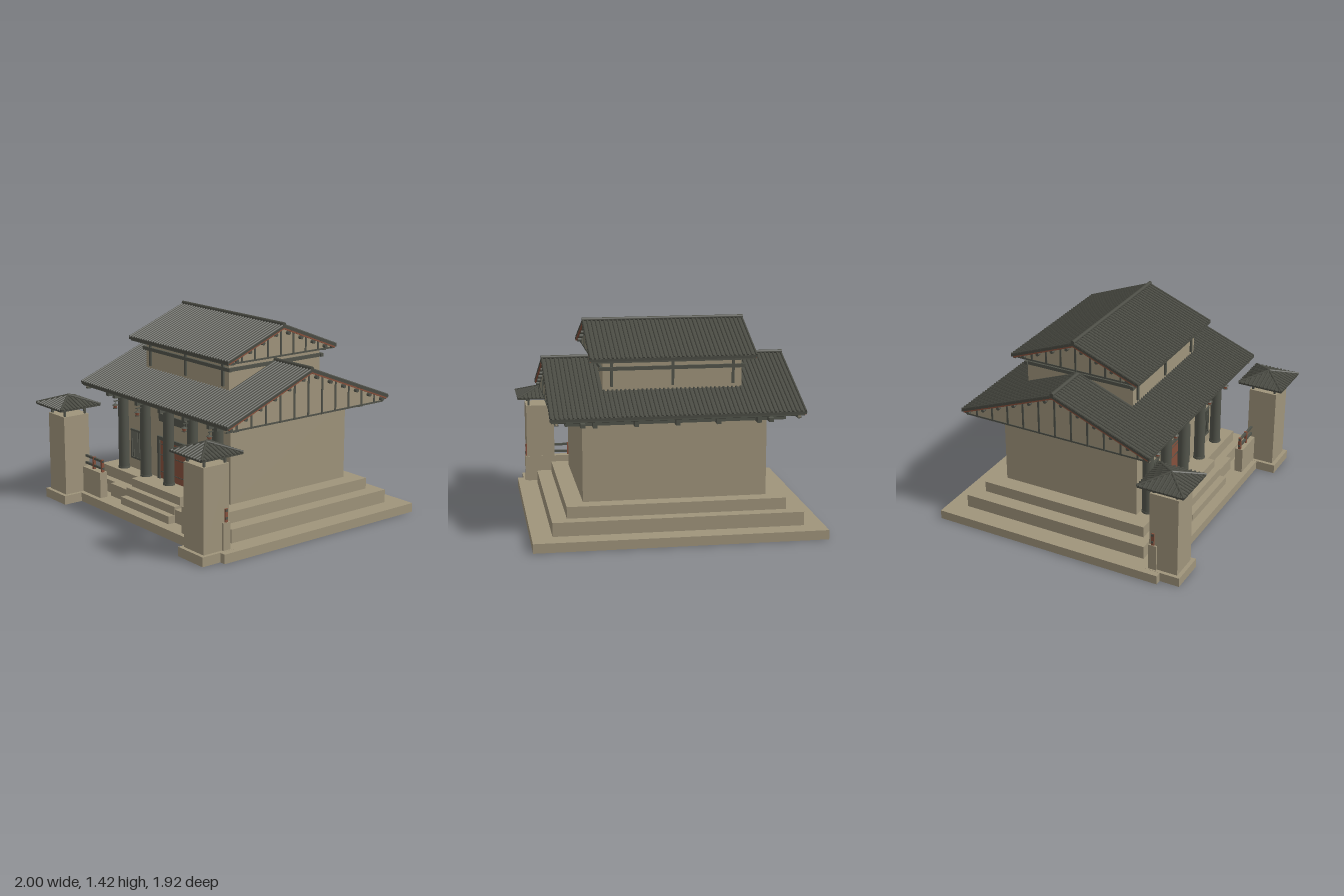
import * as THREE from 'three';
import { mergeGeometries } from 'three/addons/utils/BufferGeometryUtils.js';

const material = (name, color) => {
  const m = new THREE.MeshStandardMaterial({ color });
  m.name = name;
  return m;
};

export function createModel() {
  const model = new THREE.Group();
  model.name = 'pavilion';
  const stone = material('sandstone', 0x9f947b);
  const tile = material('roof tile', 0x4a4b43);
  const timber = material('dark timber', 0x51534a);
  const red = material('red wood', 0x86503c);

  const add = (name, geometry, mat, parent = model) => {
    const mesh = new THREE.Mesh(geometry, mat);
    mesh.name = name;
    parent.add(mesh);
    return mesh;
  };
  // Box geometry given by its minimum and maximum on each axis
  const boxGeo = (x0, x1, y0, y1, z0, z1) =>
    new THREE.BoxGeometry(x1 - x0, y1 - y0, z1 - z0).translate((x0 + x1) / 2, (y0 + y1) / 2, (z0 + z1) / 2);
  const box = (name, mat, b, parent) => add(name, boxGeo(...b), mat, parent);
  // Round bar between two points
  const rod = (a, b, r, sides = 6) => {
    const p = new THREE.Vector3(...a), q = new THREE.Vector3(...b), d = q.clone().sub(p);
    const turn = new THREE.Quaternion().setFromUnitVectors(new THREE.Vector3(0, 1, 0), d.clone().normalize());
    return new THREE.CylinderGeometry(r, r, d.length(), sides)
      .applyQuaternion(turn).translate(...p.add(q).multiplyScalar(0.5).toArray());
  };
  // Prism from a (z, y) outline, spread along x
  const prism = (points, x0, x1) => {
    const shape = new THREE.Shape(points.map(([z, y]) => new THREE.Vector2(-z, y)));
    return new THREE.ExtrudeGeometry(shape, { depth: x1 - x0, bevelEnabled: false })
      .rotateY(Math.PI / 2).translate(x0, 0, 0);
  };

  // Terraces
  box('baseSlab', stone, [-1, 1, 0, 0.065, -0.96, 0.77]);
  box('lowerTerrace', stone, [-0.86, 0.86, 0.065, 0.16, -0.82, 0.6]);
  box('upperTerrace', stone, [-0.755, 0.755, 0.16, 0.24, -0.73, 0.545]);
  box('sideLanding', stone, [-0.5, 0.5, 0.065, 0.16, 0.58, 0.64]);

  // Entrance steps
  [[0.12, 0.695], [0.18, 0.645], [0.24, 0.598]].forEach(([y, z]) =>
    box('entranceStep', stone, [-0.29, 0.29, 0.065, y, 0.5, z]));

  // Hall
  box('hallWalls', stone, [-0.635, 0.635, 0.24, 0.8, -0.62, 0.43]);

  // Double door with frame and cross rails
  for (const s of [-1, 1]) {
    box('doorJamb', timber, [s * 0.169 - 0.013, s * 0.169 + 0.013, 0.24, 0.555, 0.42, 0.446]);
    box('doorLeaf', red, [s * 0.08 - 0.077, s * 0.08 + 0.077, 0.245, 0.532, 0.425, 0.436]);
    for (const y of [0.295, 0.42, 0.5])
      box('doorRail', timber, [s * 0.08 - 0.07, s * 0.08 + 0.07, y - 0.003, y + 0.003, 0.43, 0.439]);
  }
  box('doorLintel', timber, [-0.182, 0.182, 0.53, 0.555, 0.42, 0.446]);
  box('signBoard', timber, [-0.16, 0.16, 0.67, 0.725, 0.42, 0.445]);

  // Slatted windows
  for (const s of [-1, 1]) {
    const parts = [boxGeo(-0.1, 0.1, 0.318, 0.332, 0.42, 0.444), boxGeo(-0.1, 0.1, 0.526, 0.54, 0.42, 0.444)];
    for (let i = 0; i < 9; i++) {
      const x = -0.094 + i * 0.0235;
      parts.push(boxGeo(x - 0.005, x + 0.005, 0.325, 0.53, 0.42, 0.441));
    }
    add('windowLattice', mergeGeometries(parts), timber).position.x = s * 0.42;
  }

  // Columns, lanterns and the beam ends above them
  for (let i = -2; i <= 2; i++) {
    const x = i * 0.279;
    add('column', new THREE.CylinderGeometry(0.038, 0.04, 0.55, 24).translate(x, 0.515, 0.477), timber);
    add('columnBase', new THREE.CylinderGeometry(0.042, 0.044, 0.015, 24).translate(x, 0.2475, 0.477), timber);
    box('crossBeam', timber, [x - 0.014, x + 0.014, 0.775, 0.825, -0.74, 0.56]);
    if (i === 0) continue;
    const lantern = new THREE.Group();
    lantern.name = 'lantern';
    lantern.position.set(x, 0, 0.548);
    model.add(lantern);
    box('lanternArm', timber, [-0.004, 0.004, 0.75, 0.757, -0.05, 0.01], lantern);
    add('lanternHanger', rod([0, 0.73, 0], [0, 0.753, 0], 0.003), timber, lantern);
    add('lanternCap', new THREE.ConeGeometry(0.024, 0.014, 8).translate(0, 0.73, 0), timber, lantern);
    add('lanternBody', new THREE.CylinderGeometry(0.016, 0.012, 0.022, 8).translate(0, 0.712, 0), red, lantern);
    add('lanternFoot', new THREE.CylinderGeometry(0.018, 0.018, 0.005, 8).translate(0, 0.7, 0), timber, lantern);
  }
  for (const z of [0.477, -0.657])
    box('longBeam', timber, [-0.755, 0.755, 0.78, 0.815, z - 0.022, z + 0.022]);
  for (const s of [-1, 1])
    box('sideBeam', timber, [s * 0.64 - 0.016, s * 0.64 + 0.016, 0.778, 0.806, -0.74, 0.56]);

  // Tiled gable roof with filled, battened gable ends; ridge runs along x
  function gableRoof(name, { halfX, halfZ, ridge, eave, sill, battenStep }) {
    const roof = new THREE.Group();
    roof.name = name;
    roof.position.z = -0.09;
    model.add(roof);
    const slope = (ridge - eave) / halfZ;
    const at = (z) => ridge - slope * Math.abs(z);
    const t = 0.018;
    add('roofDeck', prism([[halfZ, eave], [0, ridge], [-halfZ, eave], [-halfZ, eave - t], [0, ridge - t], [halfZ, eave - t]],
      -halfX, halfX), tile, roof);

    // Tile ribs and ridge cap
    const ribs = [];
    const count = Math.round(halfX * 2 / 0.03);
    for (let i = 0; i <= count; i++) {
      const x = -halfX + 0.008 + i * (halfX * 2 - 0.016) / count;
      for (const s of [-1, 1]) ribs.push(rod([x, ridge + 0.002, 0], [x, eave + 0.002, s * halfZ], 0.008));
    }
    add('tileRibs', mergeGeometries(ribs), tile, roof);
    add('ridgeCap', rod([-halfX, ridge + 0.006, 0], [halfX, ridge + 0.006, 0], 0.014, 10), tile, roof);

    // Red rafters below the deck
    const rafters = [];
    const n = Math.round(halfX * 2 / 0.06);
    for (let i = 0; i <= n; i++) {
      const x = -halfX + 0.008 + i * (halfX * 2 - 0.016) / n;
      for (const s of [-1, 1]) {
        const y = -t, d = 0.011, z = s * (halfZ - 0.015);
        const pts = [[0, ridge + y], [z, at(z) + y], [z, at(z) + y - d], [0, ridge + y - d]];
        rafters.push(prism(s > 0 ? pts : pts.reverse(), x - 0.006, x + 0.006));
      }
    }
    add('rafters', mergeGeometries(rafters), red, roof);

    // Gable ends, battens and sills
    const edge = halfZ - 0.02, gx = halfX - 0.045;
    for (const s of [-1, 1]) {
      add('gableWall', prism([[edge, sill + 0.004], [edge, at(edge) - t], [0, ridge - t], [-edge, at(edge) - t], [-edge, sill + 0.004]],
        s * gx - 0.008, s * gx + 0.008), stone, roof);
      box('gableSill', timber, [s * gx - 0.012, s * gx + 0.012, sill, sill + 0.012, -edge, edge], roof);
      const battens = [];
      for (let k = -8; k <= 8; k++) {
        const z = k * battenStep;
        if (Math.abs(z) < edge - 0.03)
          battens.push(boxGeo(s * gx - 0.013, s * gx + 0.013, sill, at(z) - t - 0.004, z - 0.007, z + 0.007));
      }
      add('gableBattens', mergeGeometries(battens), timber, roof);
    }

    // Round purlins and the eave boards
    const purlins = [];
    for (let k = -8; k <= 8; k++) {
      const z = (k + 0.5) * battenStep;
      if (Math.abs(z) < edge) purlins.push(rod([-halfX + 0.01, at(z) - 0.041, z], [halfX - 0.01, at(z) - 0.041, z], 0.013, 8));
    }
    add('purlins', mergeGeometries(purlins), timber, roof);
    for (const s of [-1, 1])
      box('eaveBoard', timber, [-halfX + 0.012, halfX - 0.012, eave - 0.028, eave - 0.004, s * (halfZ - 0.02) - 0.012, s * (halfZ - 0.02) + 0.012], roof);
  }
  gableRoof('mainRoof', { halfX: 0.865, halfZ: 0.73, ridge: 1.145, eave: 0.86, sill: 0.81, battenStep: 0.125 });
  gableRoof('upperRoof', { halfX: 0.575, halfZ: 0.493, ridge: 1.405, eave: 1.212, sill: 1.18, battenStep: 0.115 });

  // Clerestory between the two roofs
  box('clerestoryWalls', stone, [-0.48, 0.48, 0.95, 1.2, -0.508, 0.318]);
  for (const z of [0.32, -0.51]) {
    box('clerestoryRail', timber, [-0.505, 0.505, 1.12, 1.145, z - 0.013, z + 0.013]);
    box('clerestoryPlate', timber, [-0.53, 0.53, 1.172, 1.195, z - 0.013, z + 0.013]);
    for (const x of [-0.42, 0, 0.42])
      box('clerestoryPost', timber, [x - 0.009, x + 0.009, 1.01, 1.19, z - 0.011, z + 0.011]);
  }
  for (const s of [-1, 1])
    box('clerestorySideRail', timber, [s * 0.483 - 0.012, s * 0.483 + 0.012, 1.12, 1.145, -0.52, 0.33]);

  // Gate piers with small hipped roofs, parapets and railings
  for (const s of [-1, 1]) {
    const pier = new THREE.Group();
    pier.name = s > 0 ? 'leftPier' : 'rightPier';
    pier.position.set(s * 0.825, 0, 0.782);
    model.add(pier);
    box('pierBase', stone, [-0.131, 0.131, 0, 0.066, -0.125, 0.133], pier);
    box('pierShaft', stone, [-0.105, 0.105, 0.06, 0.65, -0.105, 0.105], pier);
    for (const a of [-1, 1]) {
      for (const b of [-1, 1])
        box('roofPost', timber, [a * 0.085 - 0.007, a * 0.085 + 0.007, 0.65, 0.72, b * 0.085 - 0.007, b * 0.085 + 0.007], pier);
      box('roofBearer', timber, [-0.12, 0.12, 0.695, 0.712, a * 0.085 - 0.009, a * 0.085 + 0.009], pier);
      box('roofBearer', timber, [a * 0.085 - 0.009, a * 0.085 + 0.009, 0.695, 0.712, -0.12, 0.12], pier);
    }
    const h = 0.17, low = 0.722, top = 0.784;
    box('pierEaves', tile, [-h, h, 0.71, low, -h, h], pier);
    add('pierRoof', new THREE.ConeGeometry(h * Math.SQRT2, top - low, 4).toNonIndexed()
      .rotateY(Math.PI / 4).translate(0, (top + low) / 2, 0), tile, pier).geometry.computeVertexNormals();
    const ribs = [];
    for (let side = 0; side < 4; side++) {
      const turn = side * Math.PI / 2;
      for (let i = -5; i <= 5; i++) {
        const x = i * 0.03, d = Math.abs(x);
        ribs.push(rod([x, low + 0.001, h + 0.004], [x, top - (top - low) * d / h + 0.001, d], 0.007).rotateY(turn));
      }
      ribs.push(rod([h, low + 0.002, h], [0, top + 0.002, 0], 0.009).rotateY(turn));
    }
    add('pierTileRibs', mergeGeometries(ribs), tile, pier);

    // Parapet running through the pier, with its rail on top
    const fence = new THREE.Group();
    fence.name = 'parapetFence';
    fence.position.set(s * 0.718, 0, 0.705);
    model.add(fence);
    box('parapet', stone, [-0.225, 0.225, 0.06, 0.255, -0.03, 0.03], fence);
    for (const y of [0.282, 0.335])
      box('fenceRail', timber, [-0.225, 0.225, y - 0.008, y + 0.008, -0.008, 0.008], fence);
    for (const x of [-0.213, -0.105, 0.105, 0.213])
      box('fencePost', red, [x - 0.008, x + 0.008, 0.255, 0.347, -0.01, 0.01], fence);
  }
  return model;
}
